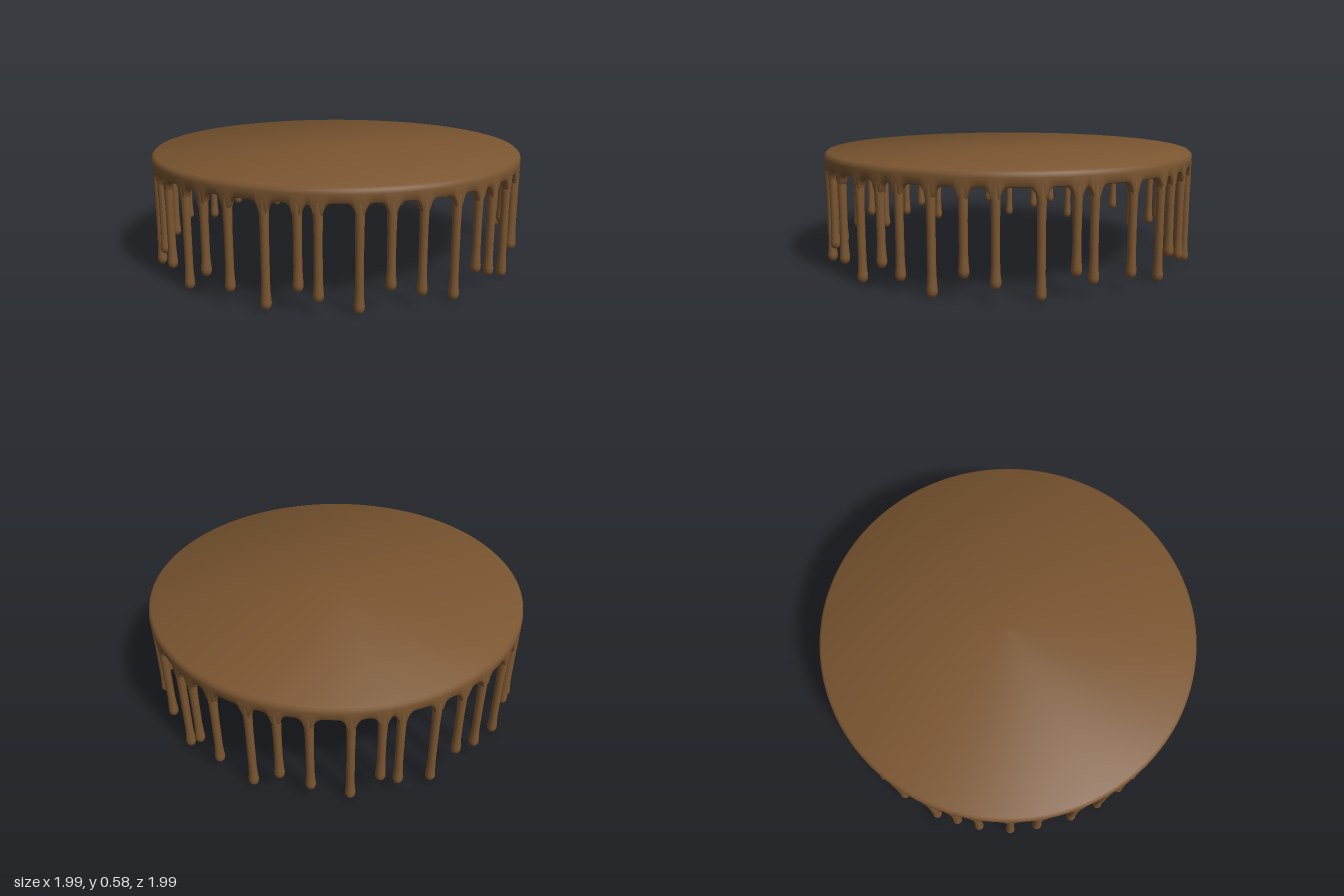
import * as THREE from 'three';
import { toCreasedNormals } from 'three/addons/utils/BufferGeometryUtils.js';

const TOP = 0.58, EDGE = 0.505, RING = 0.971;

// Drip directions in degrees from +z towards +x, grouped by length
const DRIPS = [
  { tip: 0.0, angles: [11.4, 36.2, 64.2, 89.2, 118, 157, 182.9, 211, 235.2, 264.5, 289, 319, 343.8] },
  { tip: 0.055, angles: [0.4, 25.6, 53.6, 79.5, 106.3, 132.5, 145, 171.2, 200, 224.6, 252.5, 279, 309, 333.4] },
  { tip: 0.1, angles: [20.3, 44.6, 72.8, 98, 127.5, 163, 191.2, 219.4, 244, 272, 297.5, 326.6, 351.8] },
];
const ALL = DRIPS.flatMap((d) => d.angles);

// How far the skirt's lower edge sags: rounded fillets beside each drip
function sag(theta) {
  const half = 0.02, fillet = 0.042;
  let sum = 0;
  for (const a of ALL) {
    const delta = theta - THREE.MathUtils.degToRad(a);
    const d = Math.abs(Math.atan2(Math.sin(delta), Math.cos(delta))) * RING;
    const t = THREE.MathUtils.clamp((half + fillet - d) / fillet, 0, 1);
    sum = Math.max(sum, 1 - Math.sqrt(1 - t * t));
  }
  return sum * 0.06;
}

// Thin disc with a hanging skirt whose lower edge follows the drips
function icingGeometry() {
  const profile = [
    [0, TOP - 0.012], [0.935, TOP - 0.012], [0.95, TOP - 0.03],
    [0.951, EDGE + 0.02], [0.957, EDGE + 0.006], [0.971, EDGE], [0.985, EDGE + 0.006], [0.991, EDGE + 0.02],
    [0.993, TOP - 0.03], [0.99, TOP - 0.012], [0.977, TOP], [0, TOP],
  ].map(([r, y]) => new THREE.Vector2(r, y));
  const geo = new THREE.LatheGeometry(profile, 900);
  const p = geo.attributes.position;
  for (let i = 0; i < p.count; i++) {
    if (p.getY(i) < EDGE + 0.03) p.setY(i, p.getY(i) - sag(Math.atan2(p.getX(i), p.getZ(i))));
  }
  return toCreasedNormals(geo, 0.75);
}

// Round strand with a slightly swollen tip, standing on y = tip
function dripGeometry(tip) {
  const profile = [
    [0, tip], [0.011, tip + 0.003], [0.02, tip + 0.011], [0.025, tip + 0.025], [0.025, tip + 0.04],
    [0.022, tip + 0.07], [0.02, tip + 0.12], [0.02, 0.36], [0.022, 0.44], [0.022, 0.51], [0.012, 0.53], [0, 0.535],
  ].map(([r, y]) => new THREE.Vector2(r, y));
  return new THREE.LatheGeometry(profile, 16);
}

export function createModel() {
  const group = new THREE.Group();
  group.name = 'drippingIcing';
  const material = new THREE.MeshStandardMaterial({ color: 0x7a5530 });

  const icing = new THREE.Mesh(icingGeometry(), material);
  icing.name = 'icingDisc';
  group.add(icing);

  // Drips around the rim
  for (const { tip, angles } of DRIPS) {
    const geo = dripGeometry(tip);
    for (const a of angles) {
      const t = THREE.MathUtils.degToRad(a);
      const drip = new THREE.Mesh(geo, material);
      drip.name = 'drip';
      drip.position.set(RING * Math.sin(t), 0, RING * Math.cos(t));
      drip.rotation.y = t;
      group.add(drip);
    }
  }
  return group;
}
